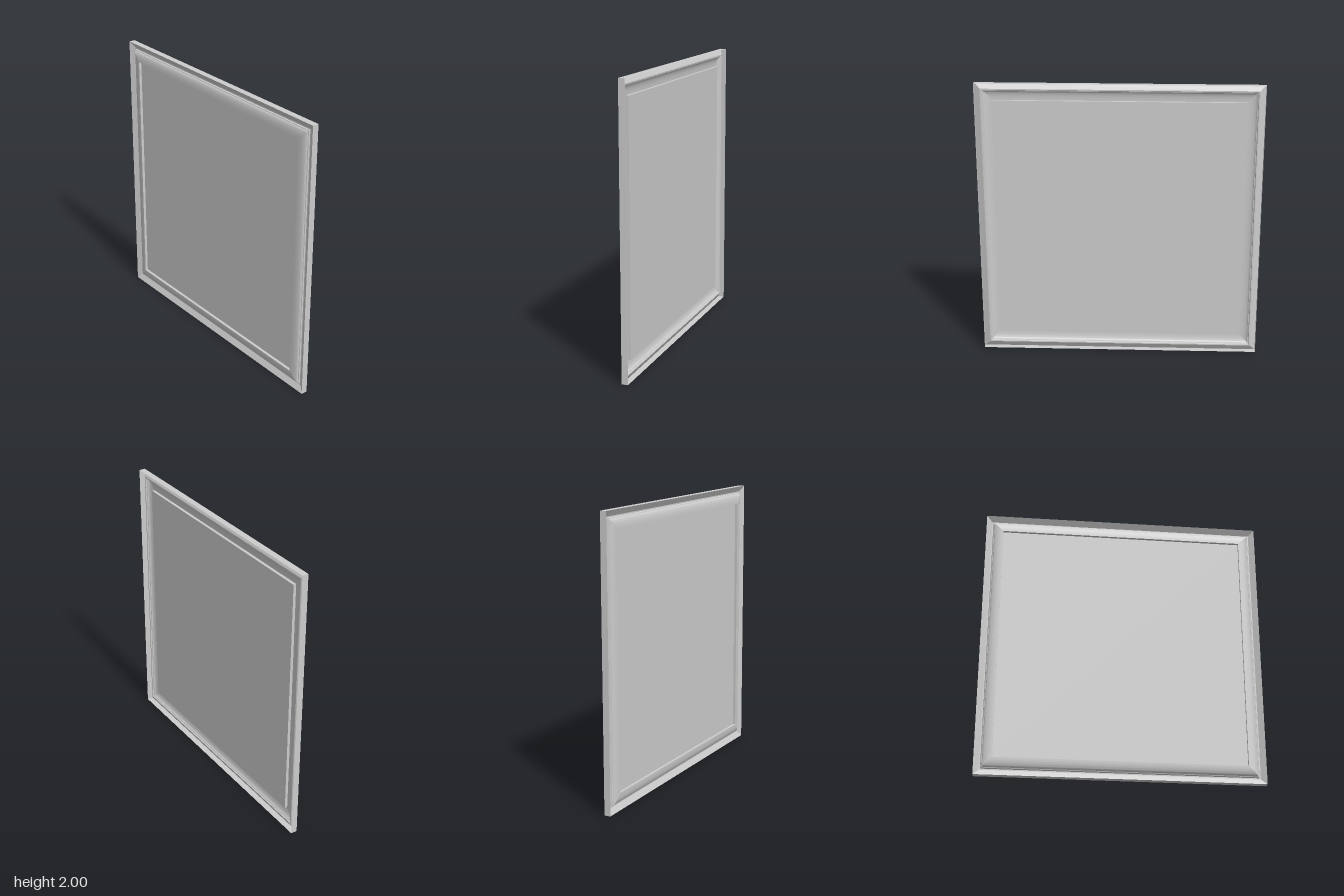
import * as THREE from 'three';
import { toCreasedNormals } from 'three/addons/utils/BufferGeometryUtils.js';

const material = new THREE.MeshStandardMaterial({ color: 0xcccccc, side: THREE.DoubleSide });

// Moulding section as [inset from the outer edge, z]
function mouldingProfile() {
  const points = [[0, -0.025], [0, 0.02], [0.04, -0.004], [0.048, -0.004], [0.052, 0.004]];
  // Rounded crown, steep outside and level at the inner edge
  const steps = 10;
  for (let i = 0; i <= steps; i++) {
    const t = (i / steps) * Math.PI / 2;
    points.push([0.125 - 0.067 * Math.cos(t), 0.006 + 0.019 * Math.sin(t)]);
  }
  // Step down to the panel
  points.push([0.125, 0.005]);
  return points;
}

// One mitred rail, running along x at the bottom of the frame
function railGeometry(profile) {
  const positions = [];
  const index = [];
  profile.forEach(([inset, z], i) => {
    const r = 1 - inset;
    positions.push(-r, -r, z, r, -r, z);
    if (i > 0) {
      const a = 2 * i - 2;
      index.push(a, a + 1, a + 3, a, a + 3, a + 2);
    }
  });
  const geometry = new THREE.BufferGeometry();
  geometry.setAttribute('position', new THREE.Float32BufferAttribute(positions, 3));
  geometry.setIndex(index);
  return toCreasedNormals(geometry, 0.5);
}

export function createModel() {
  const model = new THREE.Group();
  model.name = 'framedPanel';

  // Four rails around the square
  const frame = new THREE.Group();
  frame.name = 'frame';
  frame.position.y = 1;
  const rail = railGeometry(mouldingProfile());
  ['bottomRail', 'leftRail', 'topRail', 'rightRail'].forEach((name, i) => {
    const mesh = new THREE.Mesh(rail, material);
    mesh.name = name;
    mesh.rotation.z = i * Math.PI / 2;
    frame.add(mesh);
  });
  model.add(frame);

  // Recessed flat panel
  const panel = new THREE.Mesh(new THREE.PlaneGeometry(1.75, 1.75), material);
  panel.name = 'panel';
  panel.position.set(0, 1, 0.005);
  model.add(panel);

  return model;
}
